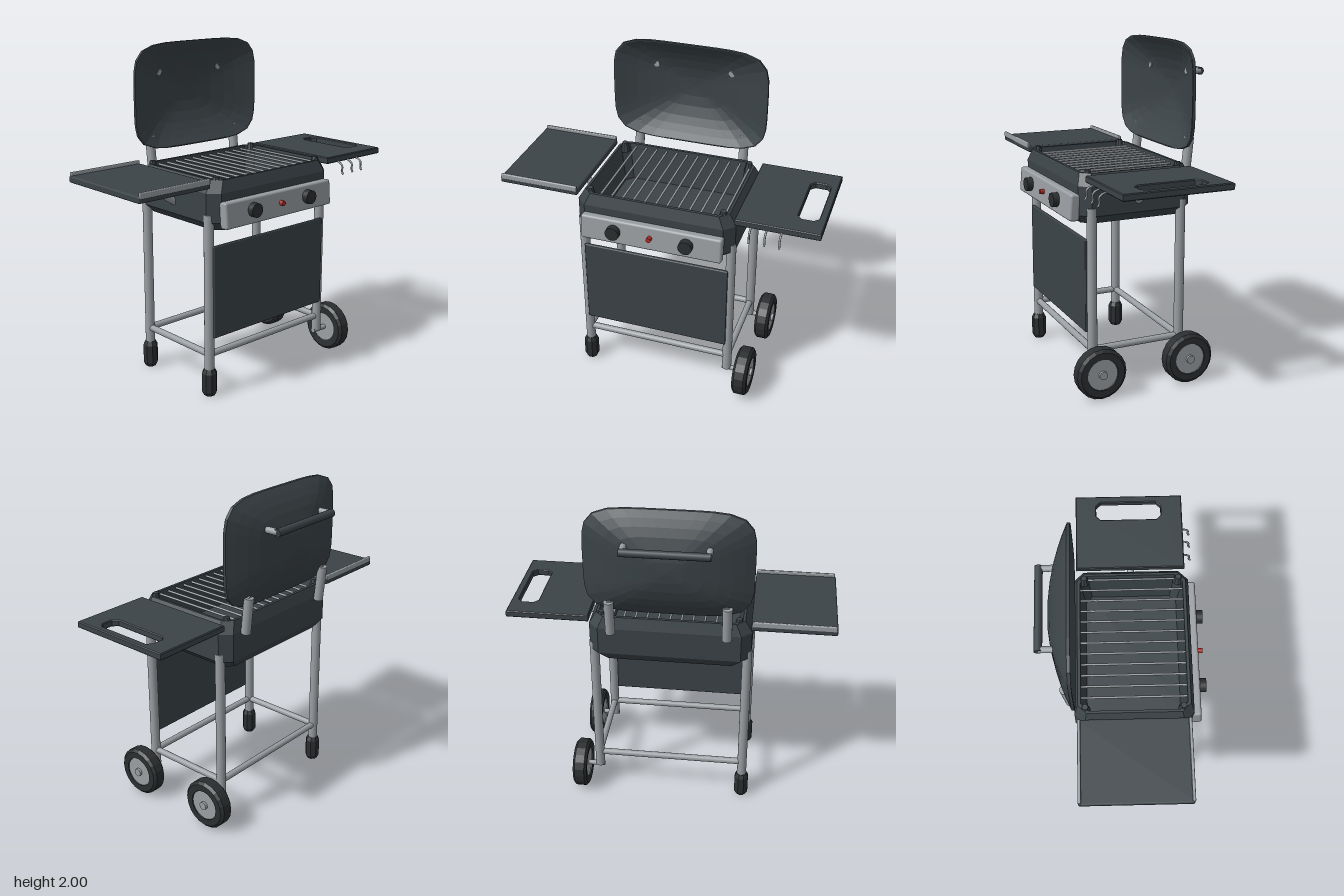
import * as THREE from 'three';
import { RoundedBoxGeometry } from 'three/addons/geometries/RoundedBoxGeometry.js';

const V = (x, y, z) => new THREE.Vector3(x, y, z);
const ZC = 0.05; // depth centre of the cart

// Skin between equal-length rings of points, optionally closing both ends
function loft(rings, capStart = true, capEnd = true) {
  const n = rings[0].length, pos = rings.flat().flatMap(p => [p.x, p.y, p.z]), idx = [];
  for (let r = 0; r < rings.length - 1; r++) for (let i = 0; i < n; i++) {
    const a = r * n + i, b = r * n + (i + 1) % n;
    idx.push(a, a + n, b, b, a + n, b + n);
  }
  const last = (rings.length - 1) * n;
  for (let i = 1; i < n - 1; i++) {
    if (capStart) idx.push(0, i, i + 1);
    if (capEnd) idx.push(last, last + i + 1, last + i);
  }
  const g = new THREE.BufferGeometry();
  g.setAttribute('position', new THREE.Float32BufferAttribute(pos, 3));
  g.setIndex(idx);
  g.computeVertexNormals();
  return g;
}

// Horizontal rectangle with cut corners
function cutRect(hx, hz, c, y) {
  return [[hx, hz - c], [hx - c, hz], [c - hx, hz], [-hx, hz - c], [-hx, c - hz], [c - hx, -hz], [hx - c, -hz], [hx, c - hz]]
    .map(([x, z]) => V(x, y, z + ZC)).reverse();
}

export function createModel() {
  const root = new THREE.Group();
  const mat = (color, extra = {}) => new THREE.MeshStandardMaterial({ color, ...extra });
  const steel = mat(0x9a9fa3), dark = mat(0x3b4347), black = mat(0x2b2e30), red = mat(0xb02a25);
  const darkFlat = mat(0x3b4347, { flatShading: true, side: THREE.DoubleSide });
  const blackFlat = mat(0x2b2e30, { flatShading: true });

  const add = (name, geo, m, x = 0, y = 0, z = 0) => {
    const mesh = new THREE.Mesh(geo, m);
    mesh.name = name;
    mesh.position.set(x, y, z);
    root.add(mesh);
    return mesh;
  };
  const rod = (name, a, b, r, m = steel, seg = 16) => {
    const mesh = add(name, new THREE.CylinderGeometry(r, r, a.distanceTo(b), seg), m);
    mesh.position.copy(a).add(b).multiplyScalar(0.5);
    mesh.quaternion.setFromUnitVectors(V(0, 1, 0), b.clone().sub(a).normalize());
    return mesh;
  };

  // Cart frame: legs, feet, wheels and lower rails
  const LX = 0.458, zs = [0.333, -0.23];
  for (const z of zs) {
    rod('leftLeg', V(LX, 0.155, z), V(LX, 1.1, z), 0.029);
    rod('rightLeg', V(-LX, 0.1, z), V(-LX, 1.1, z), 0.029);
    rod('lowerRail', V(-LX, 0.255, z), V(LX, 0.255, z), 0.02);

    const foot = [[0, 0], [0.033, 0], [0.046, 0.025], [0.046, 0.14], [0.033, 0.165], [0, 0.165]];
    add('foot', new THREE.LatheGeometry(foot.map(p => new THREE.Vector2(...p)), 8), blackFlat, -LX, 0, z)
      .rotation.y = Math.PI / 8;

    const tyre = [[0.09, -0.04], [0.135, -0.045], [0.152, -0.03], [0.152, 0.03], [0.135, 0.045], [0.095, 0.045], [0.09, 0.03]];
    const turned = (name, geo, m, x) => { add(name, geo, m, x, 0.155, z).rotation.z = -Math.PI / 2; };
    turned('tyre', new THREE.LatheGeometry(tyre.map(p => new THREE.Vector2(...p)), 20),
      mat(0x2b2e30, { flatShading: true, side: THREE.DoubleSide }), 0.57);
    turned('hub', new THREE.CylinderGeometry(0.093, 0.093, 0.075, 24), steel, 0.572);
    turned('hubCap', new THREE.CylinderGeometry(0.025, 0.025, 0.02, 16), steel, 0.615);
    turned('axle', new THREE.CylinderGeometry(0.016, 0.016, 0.17, 12), steel, 0.515);
  }
  for (const x of [-LX, LX]) rod('sideRail', V(x, 0.255, zs[0]), V(x, 0.255, zs[1]), 0.02);
  add('frontPanel', new RoundedBoxGeometry(0.9, 0.555, 0.022, 2, 0.006), dark, 0, 0.638, 0.36);

  // Firebox: faceted open tub with an inner wall and floor
  add('firebox', loft([
    cutRect(0.42, 0.315, 0.05, 1.0), cutRect(0.482, 0.35, 0.06, 1.055), cutRect(0.482, 0.35, 0.06, 1.225),
    cutRect(0.44, 0.328, 0.05, 1.295), cutRect(0.425, 0.31, 0.045, 1.295), cutRect(0.39, 0.28, 0.04, 1.06),
  ]), darkFlat);
  for (const x of [-0.405, 0.405]) for (const z of [0.335, -0.235])
    add('cornerLug', new THREE.CylinderGeometry(0.018, 0.032, 0.06, 8), darkFlat, x, 1.28, z);

  // Cooking grate
  for (let i = 0; i < 12; i++) {
    const x = -0.34 + i * 0.068;
    rod('grateBar', V(x, 1.275, -0.265), V(x, 1.275, 0.36), 0.007, steel, 8);
  }

  // Control panel with knobs and igniter
  add('controlPanel', new RoundedBoxGeometry(0.86, 0.155, 0.06, 2, 0.014), steel, 0, 1.102, 0.42)
    .rotation.x = -0.08;
  for (const x of [-0.222, 0.222])
    rod('knob', V(x, 1.11, 0.44), V(x, 1.11, 0.485), 0.042, black, 24);
  rod('igniterButton', V(0, 1.11, 0.44), V(0, 1.11, 0.475), 0.015, red);

  // Right shelf with raised edge strips
  add('rightShelf', new RoundedBoxGeometry(0.495, 0.04, 0.655, 2, 0.01), dark, -0.723, 1.278, 0.047);
  for (const z of [0.368, -0.272])
    add('shelfStrip', new RoundedBoxGeometry(0.485, 0.035, 0.018, 2, 0.006), steel, -0.722, 1.3, z);

  // Left shelf with a hand opening
  const plate = new THREE.Shape([[0.482, -0.372], [0.965, -0.372], [0.965, 0.277], [0.482, 0.277]]
    .map(p => new THREE.Vector2(...p)));
  const c = 0.03, [x0, x1, y0, y1] = [0.803, 0.932, -0.25, 0.16];
  plate.holes.push(new THREE.Path([[x0 + c, y0], [x0, y0 + c], [x0, y1 - c], [x0 + c, y1],
    [x1 - c, y1], [x1, y1 - c], [x1, y0 + c], [x1 - c, y0]].map(p => new THREE.Vector2(...p))));
  add('leftShelf', new THREE.ExtrudeGeometry(plate,
    { depth: 0.03, bevelSize: 0.005, bevelThickness: 0.005, bevelSegments: 1 }), dark, 0, 1.26, 0)
    .rotation.x = -Math.PI / 2;

  // Tool hooks under the left shelf's front edge
  for (const x of [0.575, 0.665, 0.75]) {
    const path = new THREE.CatmullRomCurve3([V(x, 1.262, 0.36), V(x, 1.252, 0.395), V(x, 1.235, 0.413),
      V(x, 1.2, 0.413), V(x, 1.183, 0.422)]);
    add('hook', new THREE.TubeGeometry(path, 16, 0.006, 8), steel);
  }

  // Shelf braces
  for (const s of [-1, 1])
    rod('shelfBrace', V(s * 0.46, 1.115, ZC), V(s * 0.69, 1.265, ZC), 0.022);

  // Lid: domed shell with rounded-rectangle outline
  const lidRing = (r, z) => Array.from({ length: 40 }, (_, i) => {
    const a = i / 40 * Math.PI * 2, co = Math.cos(a), si = Math.sin(a);
    const k = r / Math.pow(Math.abs(co) ** 5 + Math.abs(si) ** 5, 0.2);
    return V(0.485 * k * co, 1.678 + 0.322 * k * si, z);
  });
  const steps = [0.02, 0.2, 0.4, 0.6, 0.75, 0.88, 1];
  const outer = steps.map(r => lidRing(r, -0.303 - 0.12 * (1 - r * r)));
  const inner = steps.map(r => lidRing(r * 0.98, -0.285 - 0.125 * (1 - r * r))).reverse();
  add('lid', loft([...outer, lidRing(1, -0.285), ...inner]), darkFlat);

  // Lid handle and hinge arms
  rod('handle', V(-0.25, 1.812, -0.463), V(0.25, 1.812, -0.463), 0.023, dark);
  for (const s of [-1, 1]) {
    rod('handlePost', V(s * 0.237, 1.812, -0.37), V(s * 0.237, 1.812, -0.463), 0.019);
    rod('hingeArm', V(s * 0.34, 1.215, -0.322), V(s * 0.34, 1.435, -0.345), 0.029);
    rod('hingeBolt', V(s * 0.335, 1.422, -0.32), V(s * 0.335, 1.422, -0.35), 0.02);
  }
  return root;
}
